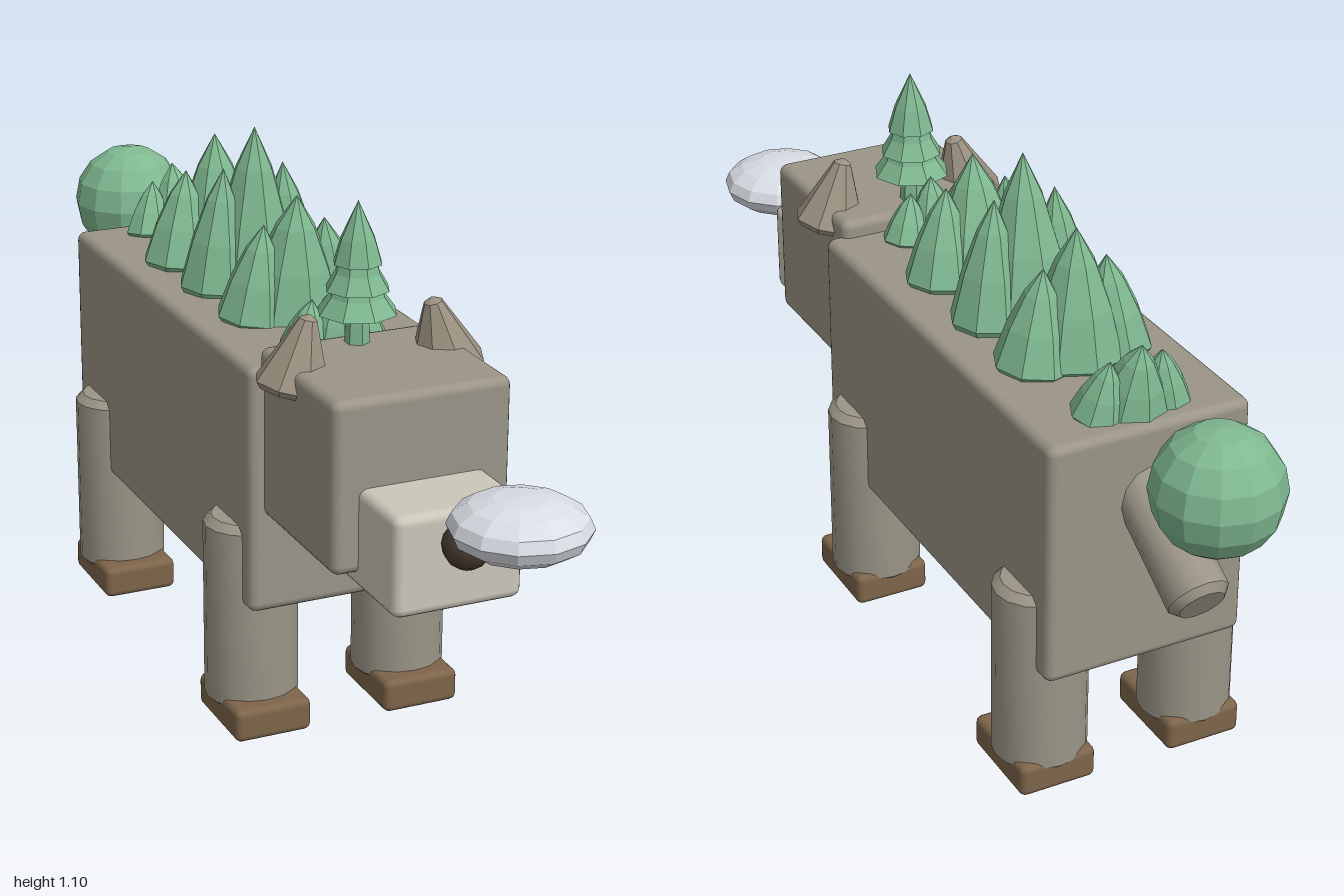
import * as THREE from 'three';
import { RoundedBoxGeometry } from 'three/addons/geometries/RoundedBoxGeometry.js';
import { toCreasedNormals } from 'three/addons/utils/BufferGeometryUtils.js';

const mat = (color, flatShading = false) => {
  const m = new THREE.MeshStandardMaterial({ flatShading });
  m.color.set(color);
  return m;
};
const HIDE = mat(0x9b9587), HORN = mat(0x9b9080, true), PALE = mat(0xcbc7ba), HOOF = mat(0x7d654a);
const LEAF = mat(0x7fb890, true), SNOW = mat(0xd9dde4, true), DARK = mat(0x4a3c32);
const UP = new THREE.Vector3(0, 1, 0);

export function createModel() {
  const model = new THREE.Group();
  model.name = 'forestBeast';

  const add = (name, geometry, material, x, y, z, parent = model) => {
    const mesh = new THREE.Mesh(geometry, material);
    mesh.name = name;
    mesh.position.set(x, y, z);
    parent.add(mesh);
    return mesh;
  };

  // Rounded block given by its minimum and maximum y and z, centred on x
  const block = (name, w, y0, y1, z0, z1, material, x = 0, bevel = 0.018) =>
    add(name, new RoundedBoxGeometry(w, y1 - y0, z1 - z0, 2, bevel), material,
      x, (y0 + y1) / 2, (z0 + z1) / 2);

  // Solid of revolution from [radius, height] pairs
  const lathe = (points, sides) =>
    new THREE.LatheGeometry(points.map(([r, y]) => new THREE.Vector2(r, y)), sides);

  // Cylinder with bevelled rims, standing on its base
  const post = (r, h, sides, bevel = 0.015) => toCreasedNormals(lathe([
    [0, 0], [r - bevel, 0], [r, bevel], [r, h - bevel], [r - bevel, h], [0, h],
  ], sides), 0.6);

  // Body, belly, head and snout
  block('body', 0.416, 0.27, 0.77, -0.655, 0.305, HIDE);
  block('belly', 0.34, 0.24, 0.32, -0.59, 0.245, PALE);
  block('head', 0.356, 0.47, 0.805, 0.278, 0.615, HIDE);
  block('snout', 0.256, 0.44, 0.635, 0.53, 0.765, PALE);
  add('nose', new THREE.SphereGeometry(0.046, 12, 8), DARK, 0, 0.577, 0.79);

  // Snow lump resting on the nose
  add('snowLump', new THREE.SphereGeometry(0.13, 12, 8), SNOW, 0.06, 0.633, 0.87)
    .scale.set(1, 0.44, 1);

  // Legs, feet and ears
  for (const side of [-1, 1]) {
    for (const [end, z] of [['front', 0.193], ['rear', -0.54]]) {
      add(end + 'Leg', post(0.087, 0.395, 16), HIDE, side * 0.16, 0.04, z).scale.x = 1.08;
      const footZ = z + 0.018;
      block(end + 'Foot', 0.16, 0, 0.068, footZ - 0.1, footZ + 0.1, HOOF, side * 0.16, 0.014);
    }
    const ear = lathe([[0, 0], [0.065, 0], [0.075, 0.012], [0.018, 0.14], [0, 0.15]], 8);
    add('ear', ear, HORN, side * 0.16, 0.75, 0.39).rotation.z = side * 0.24;
  }

  // Tail with a leafy ball above it
  const tailDir = new THREE.Vector3(0, -0.145, -0.235).normalize();
  add('tail', post(0.06, 0.28, 12), HIDE, 0, 0.645, -0.605)
    .quaternion.setFromUnitVectors(UP, tailDir);
  add('tailBush', new THREE.SphereGeometry(0.123, 12, 8), LEAF, 0, 0.757, -0.877);

  // Conifer with a swelling outline, running from its base to its apex
  const conifer = (parent, r, base, apex) => {
    const axis = apex.clone().sub(base), h = axis.length();
    const cone = lathe([
      [0, 0], [r * 0.9, 0], [r, 0.05 * h], [r * 0.74, 0.42 * h], [r * 0.4, 0.75 * h], [0, h],
    ], 8);
    add('conifer', cone, LEAF, base.x, base.y, base.z, parent)
      .quaternion.setFromUnitVectors(UP, axis.normalize());
  };

  // Clumps along the back: a tall tree between two shorter ones
  const clumps = [ // base z, apex z, top, side top, middle radius, side radius, side x
    [0.225, 0.24, 0.89, 0.865, 0.06, 0.052, 0.06],
    [0.027, 0.053, 1.015, 0.96, 0.1, 0.077, 0.08],
    [-0.17, -0.155, 1.1, 1.02, 0.097, 0.077, 0.08],
    [-0.358, -0.365, 1.035, 0.965, 0.097, 0.08, 0.082],
    [-0.572, -0.61, 0.91, 0.88, 0.072, 0.055, 0.066],
  ];
  for (const [z, apexZ, top, sideTop, r, sideR, x] of clumps) {
    const clump = new THREE.Group();
    clump.name = 'treeClump';
    model.add(clump);
    conifer(clump, r, new THREE.Vector3(0, 0.765, z), new THREE.Vector3(0, top, apexZ));
    for (const s of [-1, 1]) {
      conifer(clump, sideR, new THREE.Vector3(s * x, 0.765, z),
        new THREE.Vector3(s * x * 0.8, sideTop, (z + apexZ) / 2));
    }
  }

  // Tiered tree on the head
  const crown = new THREE.Group();
  crown.name = 'headTree';
  model.add(crown);
  add('trunk', new THREE.CylinderGeometry(0.02, 0.025, 0.1, 6), LEAF, 0, 0.84, 0.33, crown);
  for (const [r, y, h] of [[0.078, 0.865, 0.08], [0.063, 0.91, 0.08], [0.048, 0.96, 0.12]]) {
    const tip = y + h > 1.07 ? 0 : r * 0.5;
    add('treeTier', lathe([[0, 0], [r, 0], [r * 0.7, h * 0.4], [tip, h], [0, h]], 8), LEAF,
      0, y, 0.33, crown);
  }
  return model;
}
